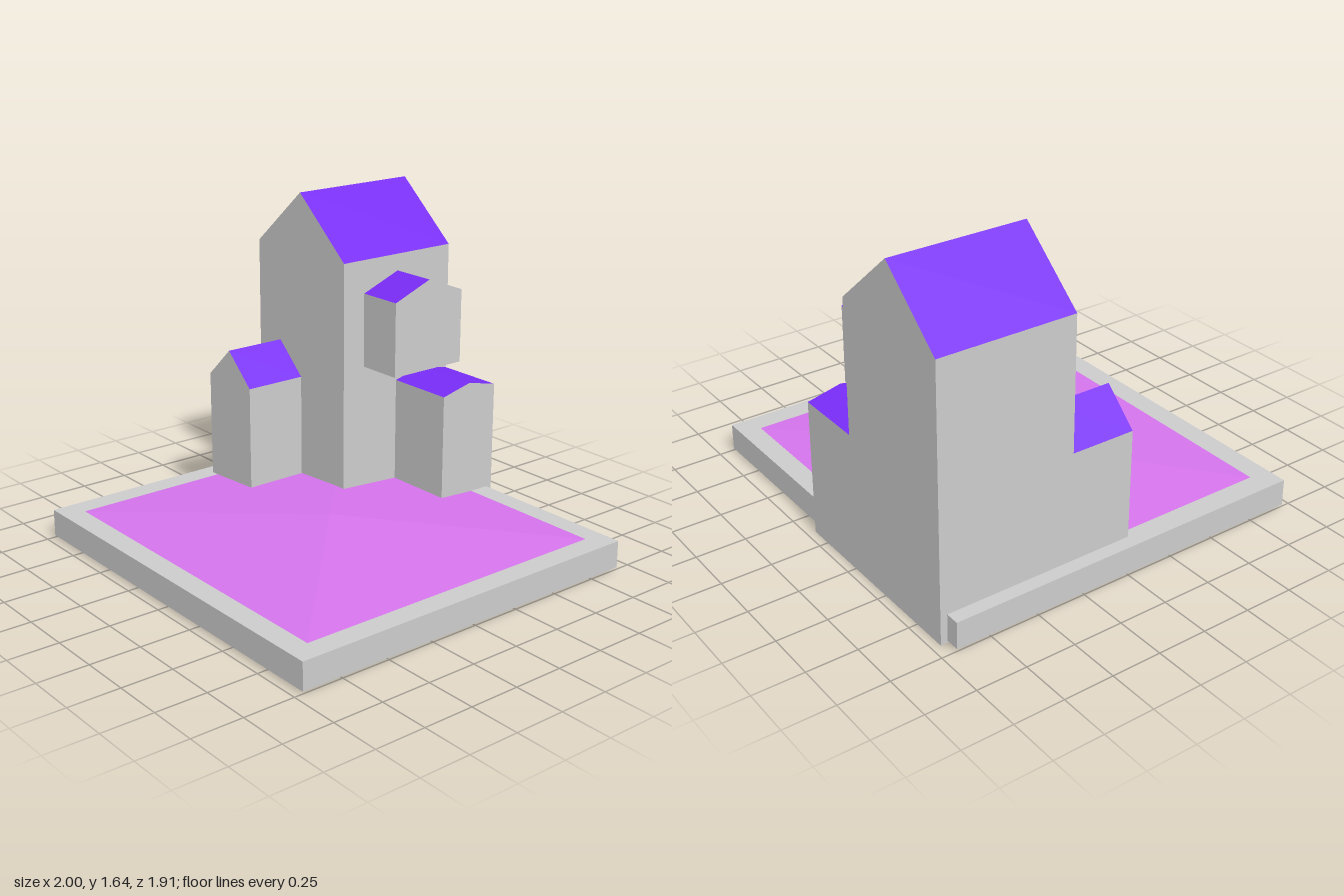
import * as THREE from 'three';
import { mergeGeometries } from 'three/addons/utils/BufferGeometryUtils.js';

const grey = new THREE.MeshStandardMaterial({ color: 0xcccccc });
const violet = new THREE.MeshStandardMaterial({ color: 0x782cf5 });
const pink = new THREE.MeshStandardMaterial({ color: 0xd574ec });

// Flat strip swept along z from an open profile, running anticlockwise so faces look outward
function strip(points, depth) {
  const z = depth / 2, pos = [], uv = [];
  for (let i = 0; i < points.length - 1; i++) {
    const [a, b] = [points[i], points[i + 1]];
    const p = [[...a, -z], [...b, -z], [...b, z], [...a, z]];
    for (const k of [0, 1, 2, 0, 2, 3]) {
      pos.push(...p[k]);
      uv.push(k === 1 || k === 2 ? 1 : 0, k > 1 ? 1 : 0);
    }
  }
  const g = new THREE.BufferGeometry();
  g.setAttribute('position', new THREE.Float32BufferAttribute(pos, 3));
  g.setAttribute('uv', new THREE.Float32BufferAttribute(uv, 2));
  g.computeVertexNormals();
  return g;
}

// Gabled block: grey walls, floor and gables, with two violet roof slopes
function house({ name, x, y, z, ridgeAlongX = false }) {
  const [floor, eave, ridge] = y;
  const sx = x[1] - x[0], sz = z[1] - z[0];
  const h = (ridgeAlongX ? sz : sx) / 2;
  const depth = ridgeAlongX ? sx : sz;
  const wall = [[-h, eave], [-h, floor], [h, floor], [h, eave]];
  const slopes = [[h, eave], [0, ridge], [-h, eave]];

  const outline = new THREE.Shape([...wall, [0, ridge]].map(p => new THREE.Vector2(...p)));
  const gable = () => new THREE.ShapeGeometry(outline).toNonIndexed().translate(0, 0, depth / 2);
  const body = mergeGeometries([strip(wall, depth), gable(), gable().rotateY(Math.PI)]);

  const group = new THREE.Group();
  group.name = name;
  const walls = new THREE.Mesh(body, grey);
  walls.name = name + 'Walls';
  const roof = new THREE.Mesh(strip(slopes, depth), violet);
  roof.name = name + 'Roof';
  group.add(walls, roof);
  group.position.set((x[0] + x[1]) / 2, 0, (z[0] + z[1]) / 2);
  if (ridgeAlongX) group.rotation.y = Math.PI / 2;
  return group;
}

export function createModel() {
  const model = new THREE.Group();
  model.name = 'houseCluster';

  // Ground slab
  const slab = new THREE.Mesh(new THREE.BoxGeometry(2, 0.135, 1.88), grey);
  slab.name = 'slab';
  slab.position.set(0, 0.0775, 0.017);
  model.add(slab);

  // Very shallow four-sided mound on the slab
  const moundGeo = new THREE.ConeGeometry(Math.SQRT1_2, 0.056, 4, 1, true).toNonIndexed();
  moundGeo.rotateY(Math.PI / 4).scale(1.775, 1, 1.665);
  moundGeo.computeVertexNormals();
  const mound = new THREE.Mesh(moundGeo, pink);
  mound.name = 'mound';
  mound.position.set(0, 0.173, 0.013);
  model.add(mound);

  // Buildings: y lists floor, eave and ridge heights
  const houses = [
    { name: 'tower', x: [-0.93, -0.245], y: [0, 1.345, 1.64], z: [-0.957, -0.272] },
    { name: 'frontAnnex', x: [-0.93, -0.588], y: [0, 0.69, 0.85], z: [-0.272, 0.052] },
    { name: 'sideAnnex', x: [-0.245, 0.112], y: [0, 0.69, 0.73], z: [-0.957, -0.614], ridgeAlongX: true },
    { name: 'hangingRoom', x: [-0.245, -0.01], y: [0.803, 1.177, 1.26], z: [-0.83, -0.4], ridgeAlongX: true },
  ];
  for (const spec of houses) model.add(house(spec));

  return model;
}
